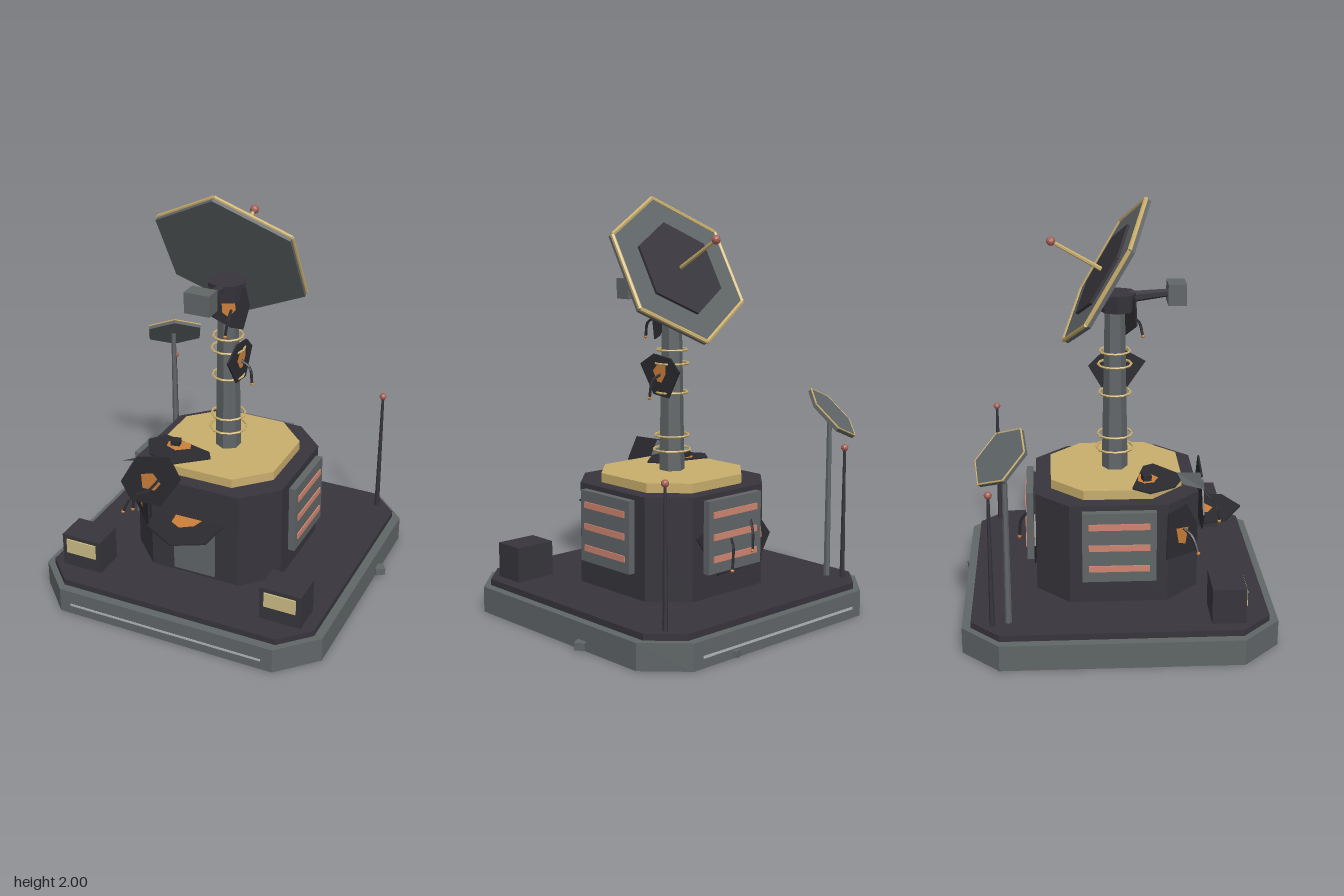
import * as THREE from 'three';

const mat = (name, color, flat = true) => {
  const m = new THREE.MeshStandardMaterial({ color, flatShading: flat, side: THREE.DoubleSide });
  m.name = name;
  return m;
};

export function createModel() {
  const root = new THREE.Group();
  root.name = 'relayStation';
  const dark = mat('dark plating', 0x37353c);
  const charred = mat('charred metal', 0x2c2b30);
  const gray = mat('gray metal', 0x606567);
  const gold = mat('gold trim', 0xc8ad6c);
  const pale = mat('pale label', 0xcbbb84);
  const salmon = mat('salmon vents', 0xcf8470);
  const rust = mat('orange rust', 0xcc7f3a);
  const lamp = mat('red lamp', 0xa55f54);
  const light = mat('light strip', 0xb4b6b6);
  const CX = -0.022, CZ = 0.004;

  const add = (name, geo, material, x = 0, y = 0, z = 0, parent = root) => {
    const m = new THREE.Mesh(geo, material);
    m.name = name;
    m.position.set(x, y, z);
    parent.add(m);
    return m;
  };
  const box = (name, material, w, h, d, x, y, z, parent) =>
    add(name, new THREE.BoxGeometry(w, h, d), material, x, y, z, parent);
  const polygon = (pts) => new THREE.Shape(pts.map(([x, y]) => new THREE.Vector2(x, y)));

  // Square slab with cut corners
  const slab = (name, material, half, cut, y0, y1) => {
    const k = half - cut;
    const s = polygon([[half, -k], [half, k], [k, half], [-k, half], [-half, k], [-half, -k], [-k, -half], [k, -half]]);
    const g = new THREE.ExtrudeGeometry(s, { depth: y1 - y0, bevelEnabled: false });
    g.rotateX(-Math.PI / 2);
    return add(name, g, material, CX, y0, CZ);
  };

  // Straight tapered rod between two points
  const rod = (name, material, a, b, r0, r1, sides = 6, parent = root) => {
    const p = new THREE.Vector3(...a), q = new THREE.Vector3(...b);
    const d = q.clone().sub(p);
    const m = add(name, new THREE.CylinderGeometry(r1, r0, d.length(), sides), material, 0, 0, 0, parent);
    m.position.copy(p).add(q).multiplyScalar(0.5);
    m.quaternion.setFromUnitVectors(new THREE.Vector3(0, 1, 0), d.normalize());
    return m;
  };

  // Torn plate with a rust patch on its outer face
  const patch = (name, plate, spot, pos, rot = [0, 0, 0]) => {
    const g = new THREE.Group();
    g.name = name;
    g.position.set(...pos);
    g.rotation.set(...rot);
    add(name + 'Sheet', new THREE.ExtrudeGeometry(polygon(plate), { depth: 0.008, bevelEnabled: false }), charred, 0, 0, 0, g);
    if (spot) add(name + 'Rust', new THREE.ShapeGeometry(polygon(spot)), rust, 0, 0, 0.011, g);
    root.add(g);
  };

  // Loose cable with an exposed orange end
  const cable = (...pts) => {
    const curve = new THREE.CatmullRomCurve3(pts.map((p) => new THREE.Vector3(...p)));
    add('looseCable', new THREE.TubeGeometry(curve, 8, 0.007, 5), charred);
    add('cableEnd', new THREE.IcosahedronGeometry(0.01, 0), rust, ...pts[pts.length - 1]);
  };

  // Base, building and roof
  slab('base', gray, 0.732, 0.175, 0, 0.125);
  slab('deck', dark, 0.69, 0.135, 0.125, 0.155);
  slab('building', dark, 0.385, 0.155, 0.155, 0.645);
  slab('roof', gold, 0.312, 0.15, 0.645, 0.69);
  for (const s of [1, -1]) box('baseStrip', light, 1, 0.012, 0.002, CX, 0.05, CZ + s * 0.7325);

  // Door with a lamp bar above it
  box('door', gray, 0.215, 0.25, 0.015, CX, 0.3, 0.392);
  box('doorLamp', salmon, 0.175, 0.02, 0.02, CX, 0.455, 0.395);

  // Vent panels on the sides and the back
  for (const a of [Math.PI / 2, -Math.PI / 2, Math.PI]) {
    const g = new THREE.Group();
    g.name = 'ventPanel';
    g.position.set(CX, 0.453, CZ);
    g.rotation.y = a;
    box('ventFrame', gray, 0.345, 0.345, 0.034, 0, 0, 0.414, g);
    box('ventBack', dark, 0.3, 0.3, 0.02, 0, 0, 0.39, g);
    for (const y of [-0.105, 0, 0.105]) box('ventSlat', salmon, 0.285, 0.03, 0.008, 0, y, 0.433, g);
    root.add(g);
  }

  // Crates with labels
  for (const x of [-0.545, 0.502]) {
    box('crate', dark, 0.207, 0.17, 0.157, x, 0.24, 0.496);
    box('crateLabel', pale, 0.158, 0.075, 0.008, x, 0.267, 0.578);
  }

  // Whip antennas
  for (const x of [-0.615, 0.57]) {
    rod('antenna', dark, [x, 0.155, -0.585], [x, 0.8, -0.585], 0.013, 0.007);
    add('antennaLamp', new THREE.IcosahedronGeometry(0.018, 1), lamp, x, 0.8, -0.585);
  }

  // Mast with rings
  add('mast', new THREE.CylinderGeometry(0.047, 0.063, 0.82, 6), gray, CX, 1.1, CZ);
  for (const [y, r] of [[0.79, 0.09], [0.86, 0.083], [1.07, 0.076], [1.21, 0.08], [1.275, 0.072]]) {
    const ring = new THREE.TorusGeometry(r, 0.006, 5, 12);
    ring.rotateX(Math.PI / 2);
    add('mastRing', ring, gold, CX, y, CZ);
  }

  // Head and counterweight
  add('mastHead', new THREE.CylinderGeometry(0.095, 0.085, 0.085, 8), dark, CX, 1.515, CZ + 0.01);
  rod('counterArm', dark, [CX, 1.535, 0.07], [CX, 1.555, 0.27], 0.028, 0.018);
  box('counterweight', gray, 0.125, 0.1, 0.085, CX, 1.555, 0.292);

  // Hexagonal dish facing local +z
  const dish = (name, r, t, pos, lift, yaw) => {
    const g = new THREE.Group();
    g.name = name;
    g.position.set(...pos);
    g.rotation.set(-lift, yaw, 0, 'YXZ');
    const hex = (part, material, radius, depth, z) => {
      const c = new THREE.CylinderGeometry(radius, radius, depth, 6);
      c.rotateX(Math.PI / 2);
      return add(part, c, material, 0, 0, z, g);
    };
    hex(name + 'Plate', gray, r * 0.985, t, 0);
    const corner = (i) => [Math.sin(i * Math.PI / 3) * r * 0.975, Math.cos(i * Math.PI / 3) * r * 0.975, t * 0.4];
    for (let i = 0; i < 6; i++) rod(name + 'Rim', gold, corner(i), corner(i + 1), r * 0.028, r * 0.028, 6, g);
    root.add(g);
    return { g, hex };
  };
  const main = dish('mainDish', 0.392, 0.028, [CX, 1.655, -0.035], Math.PI / 6, Math.PI);
  main.hex('dishCentre', dark, 0.242, 0.016, 0.02);
  rod('feedRod', gold, [0, 0, 0.01], [0, 0, 0.29], 0.011, 0.009, 6, main.g);
  add('feedTip', new THREE.IcosahedronGeometry(0.022, 1), lamp, 0, 0, 0.295, main.g);

  // Secondary dish on its pole
  dish('smallDish', 0.157, 0.022, [-0.585, 0.965, -0.525], Math.PI / 4, Math.PI + 0.5);
  rod('smallDishPole', gray, [-0.585, 0.155, -0.512], [-0.585, 0.96, -0.512], 0.016, 0.012);

  // Torn plates: over the door, on the roof, at the front corner, on the mast and at the back
  const flat = [-Math.PI / 2, 0, 0];
  patch('awning', [[-0.24, -0.37], [0.127, -0.37], [0.115, -0.55], [-0.03, -0.625], [-0.2, -0.53]],
    [[-0.12, -0.385], [0.02, -0.385], [0.005, -0.445], [-0.055, -0.485], [-0.11, -0.455]], [0, 0.46, 0], flat);
  patch('roofPlate', [[-0.33, -0.07], [-0.39, -0.15], [-0.32, -0.27], [-0.19, -0.325], [-0.03, -0.19], [-0.06, -0.14]],
    [[-0.285, -0.13], [-0.255, -0.1], [-0.175, -0.11], [-0.155, -0.155], [-0.215, -0.2], [-0.275, -0.175]], [0, 0.692, 0], flat);
  box('roofBolt', charred, 0.045, 0.03, 0.04, -0.24, 0.715, 0.142).rotation.y = 0.2;
  patch('frontPlate', [[-0.41, 0.59], [-0.35, 0.695], [-0.32, 0.745], [-0.145, 0.785], [-0.085, 0.675], [-0.2, 0.5], [-0.36, 0.5]],
    [[-0.295, 0.66], [-0.23, 0.68], [-0.19, 0.63], [-0.225, 0.585], [-0.29, 0.585]], [0, 0, 0.393]);
  patch('cornerPlate', [[-0.1, 0.14], [0.03, 0.15], [0.11, 0.02], [0.11, -0.12], [-0.11, -0.09]],
    [[-0.05, 0.05], [0.04, 0.03], [0.02, -0.05], [-0.03, -0.03]], [-0.347, 0.465, 0.3], [0, -Math.PI / 4, 0]);
  patch('mastPlate', [[-0.155, 0.035], [-0.06, 0.09], [0.06, 0.075], [0.12, 0.015], [0.045, -0.115], [-0.06, -0.105]],
    [[-0.06, 0.01], [-0.03, 0.04], [0.03, 0.04], [0.03, 0], [0, -0.045], [-0.03, -0.04]], [0.04, 1.165, 0], [0, Math.PI / 2, 0]);
  patch('headPlate', [[-0.09, 0.1], [0.08, 0.1], [0.1, 0.01], [0.07, -0.11], [0.01, -0.1], [-0.1, -0.03]],
    [[-0.03, 0.03], [0.03, 0.03], [0.035, -0.01], [0, -0.045], [-0.03, -0.02]], [0.002, 1.44, 0.055], [0, 0.45, 0]);
  patch('backPlate', [[-0.19, 0.45], [-0.02, 0.55], [0.2, 0.52], [0.3, 0.4], [0.22, 0.27], [-0.05, 0.25]],
    [[0.17, 0.46], [0.23, 0.45], [0.24, 0.39], [0.18, 0.37]], [0, 0, -0.383], [0, Math.PI, 0]);

  // Bent flap above the front corner
  const flap = new THREE.BufferGeometry();
  flap.setAttribute('position', new THREE.Float32BufferAttribute(
    [-0.39, 0.71, 0.4, -0.29, 0.755, 0.4, -0.15, 0.7, 0.295, -0.3, 0.7, 0.31], 3));
  flap.setIndex([0, 1, 2, 0, 2, 3]);
  flap.computeVertexNormals();
  add('bentFlap', flap, gray);

  // Loose cables
  cable([-0.2, 0.65, 0.4], [-0.24, 0.6, 0.45], [-0.29, 0.58, 0.475], [-0.3, 0.51, 0.485]);
  cable([-0.35, 0.5, 0.31], [-0.39, 0.47, 0.35], [-0.42, 0.4, 0.375]);
  cable([0.045, 1.16, 0.01], [0.095, 1.13, 0.015], [0.11, 1.05, 0.02]);
  cable([0.02, 1.43, 0.06], [0.03, 1.4, 0.12], [0.025, 1.33, 0.14]);
  cable([-0.13, 0.5, -0.42], [-0.11, 0.45, -0.455], [-0.1, 0.36, -0.465]);
  cable([0, 0.43, -0.42], [0.02, 0.4, -0.455], [0.04, 0.29, -0.47]);

  // Small fragments by the base
  box('fragment', gray, 0.05, 0.035, 0.05, 0.723, 0.028, -0.2).rotation.y = 0.6;
  box('fragment', gray, 0.04, 0.03, 0.03, 0.28, 0.022, -0.73).rotation.y = 0.4;
  return root;
}
